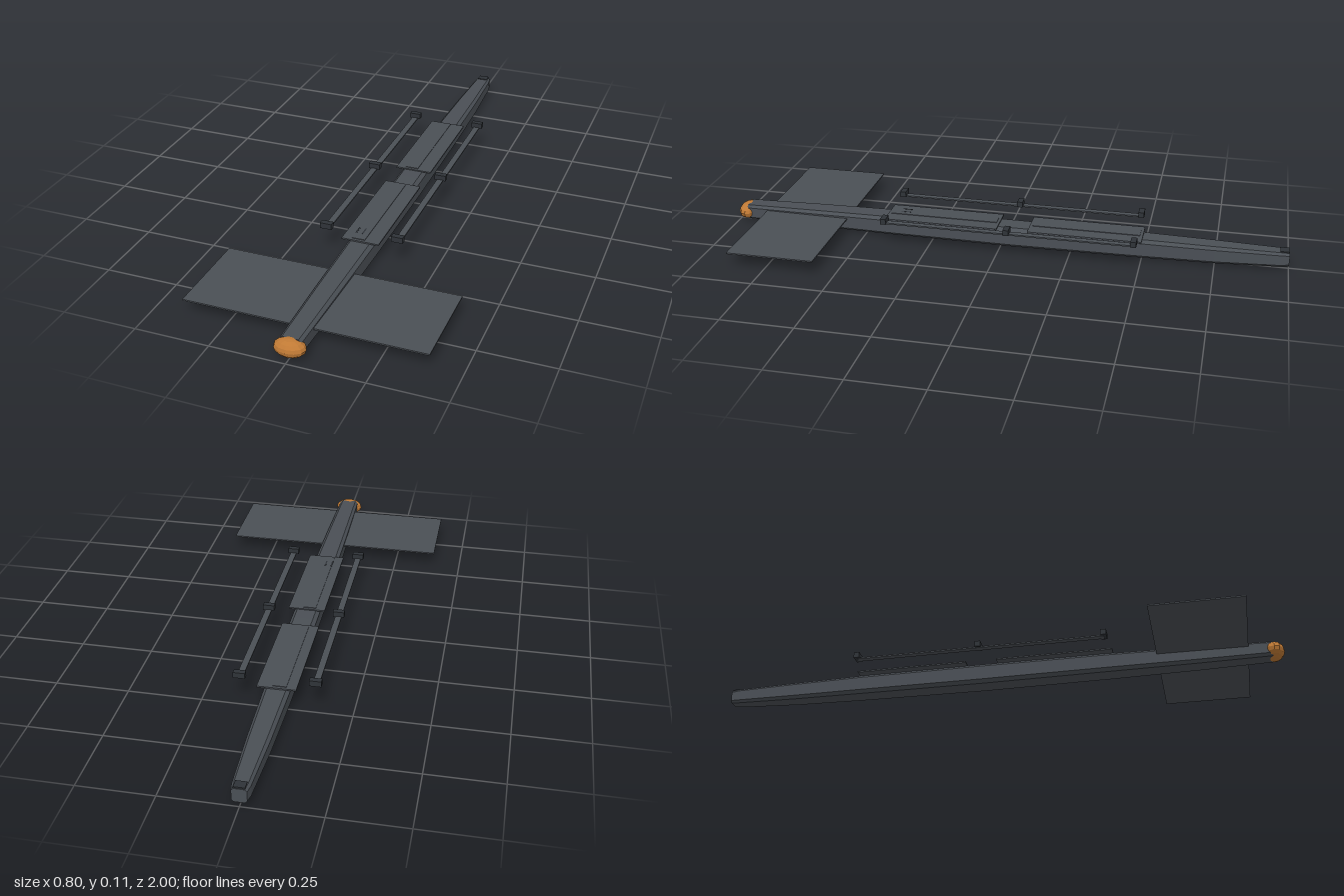
import * as THREE from 'three';

const dark = new THREE.MeshStandardMaterial({ color: 0x4a4f55, flatShading: true });
const black = new THREE.MeshStandardMaterial({ color: 0x2f3338, flatShading: true });
const copper = new THREE.MeshStandardMaterial({ color: 0xc07a35, flatShading: true });

function add(parent, name, geometry, material, x, y, z) {
  const mesh = new THREE.Mesh(geometry, material);
  mesh.name = name;
  mesh.position.set(x, y, z);
  parent.add(mesh);
  return mesh;
}
const box = (parent, name, w, h, d, x, y, z, material = dark) =>
  add(parent, name, new THREE.BoxGeometry(w, h, d), material, x, y, z);

// Chamfered eight-sided cross-sections joined along z, with closed ends
function hullGeometry(stations) {
  const positions = [], index = [], n = 8;
  for (const [z, w, y0, y1] of stations) {
    const cx = w * 0.27, cy = (y1 - y0) * 0.16;
    const ring = [
      [w - cx, y0], [w, y0 + cy], [w, y1 - cy], [w - cx, y1],
      [cx - w, y1], [-w, y1 - cy], [-w, y0 + cy], [cx - w, y0],
    ];
    for (const [x, y] of ring) positions.push(x, y, z);
  }
  for (let s = 0; s < stations.length - 1; s++) {
    for (let i = 0; i < n; i++) {
      const a = s * n + i, b = s * n + (i + 1) % n;
      index.push(a, b, b + n, a, b + n, a + n);
    }
  }
  const last = (stations.length - 1) * n;
  for (let i = 1; i < n - 1; i++) {
    index.push(0, i + 1, i, last, last + i, last + i + 1);
  }
  const g = new THREE.BufferGeometry();
  g.setAttribute('position', new THREE.Float32BufferAttribute(positions, 3));
  g.setIndex(index);
  const flat = g.toNonIndexed();
  flat.computeVertexNormals();
  return flat;
}

export function createModel() {
  const model = new THREE.Group();
  model.name = 'slenderVessel';

  // Long tapered body: z, half width, bottom, top
  add(model, 'hull', hullGeometry([
    [-1.0, 0.024, 0.016, 0.064],
    [-0.97, 0.029, 0.013, 0.066],
    [-0.75, 0.038, 0.006, 0.069],
    [-0.5, 0.043, 0.003, 0.072],
    [-0.05, 0.046, 0.0, 0.073],
    [0.4, 0.045, 0.003, 0.072],
    [0.7, 0.041, 0.006, 0.069],
    [0.96, 0.036, 0.011, 0.065],
  ]), dark, 0, 0, 0);
  box(model, 'sternCap', 0.036, 0.012, 0.03, 0, 0.063, -0.983, black);

  // Faceted nose bulb
  const nose = new THREE.SphereGeometry(1, 12, 8).scale(0.052, 0.03, 0.035);
  add(model, 'nose', nose, copper, 0, 0.037, 0.965);

  // Thin straight wing
  box(model, 'wing', 0.8, 0.005, 0.31, 0, 0.051, 0.725);

  // Two deck plates with a shallow raised strip
  for (const [z, d] of [[-0.3, 0.4], [0.215, 0.41]]) {
    box(model, 'deckPlate', 0.13, 0.005, d, 0, 0.0745, z);
    box(model, 'deckStrip', 0.045, 0.003, d - 0.02, -0.009, 0.0775, z);
  }
  for (const x of [-0.03, -0.008]) {
    box(model, 'deckCleat', 0.005, 0.003, 0.035, x, 0.078, 0.36, black);
  }

  // Side rails carrying three blocks each
  for (const side of [-1, 1]) {
    const rail = new THREE.Group();
    rail.name = side > 0 ? 'leftRail' : 'rightRail';
    rail.position.x = side * 0.125;
    box(rail, 'railBar', 0.022, 0.005, 0.88, 0, 0.0925, -0.04);
    for (const z of [-0.48, -0.04, 0.4]) {
      box(rail, 'railBlock', 0.04, 0.02, 0.02, 0, 0.102, z, black);
    }
    model.add(rail);
  }
  return model;
}
